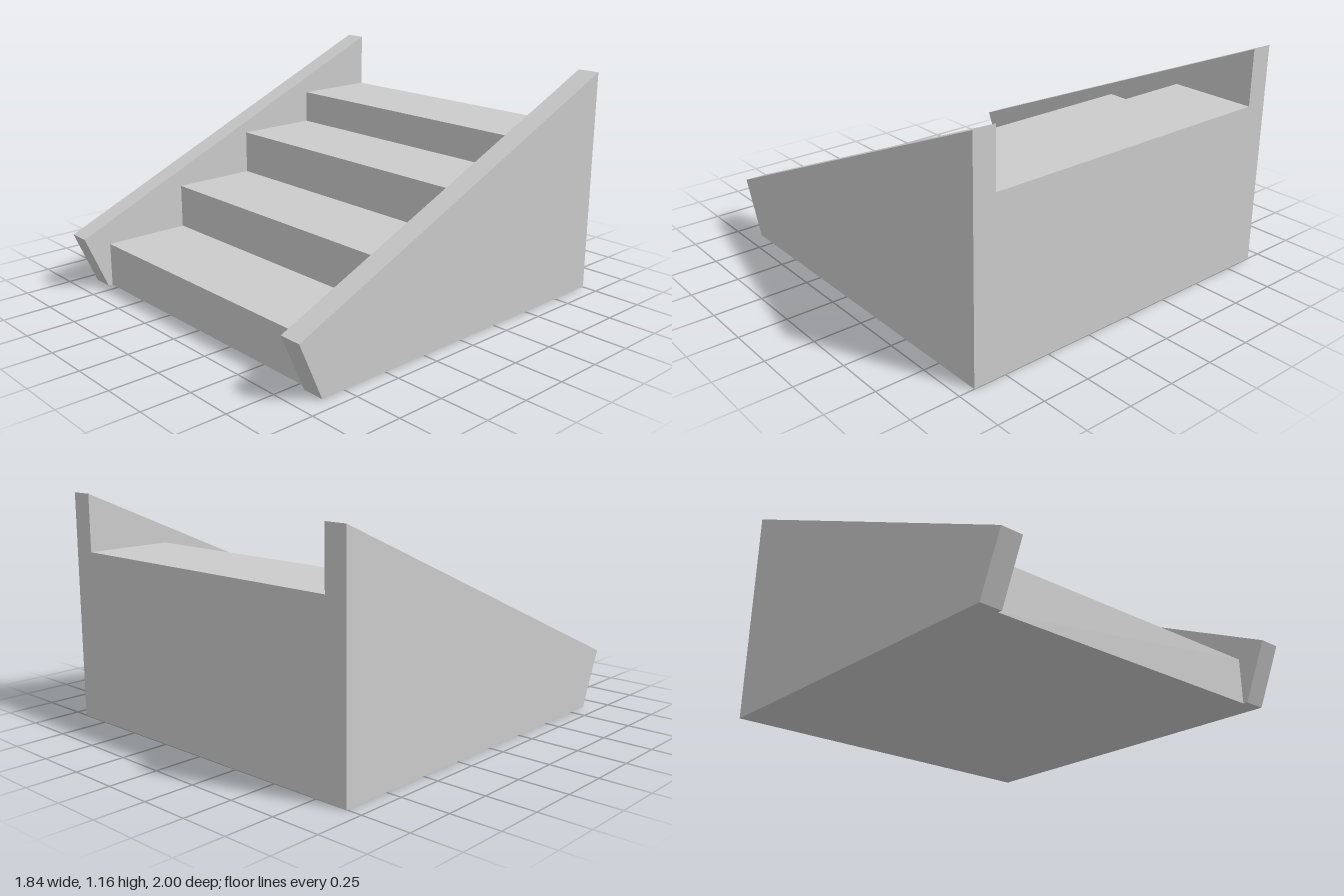
import * as THREE from 'three';

const material = new THREE.MeshStandardMaterial({ color: 0xcccccc, flatShading: true });

// Extrudes a side profile of [z, y] points across x, centred on x = 0.
function profileMesh(name, points, width) {
  const shape = new THREE.Shape(points.map(([z, y]) => new THREE.Vector2(z, y)));
  const geometry = new THREE.ExtrudeGeometry(shape, { depth: width, bevelEnabled: false });
  geometry.translate(0, 0, -width / 2);
  geometry.rotateY(-Math.PI / 2);
  const mesh = new THREE.Mesh(geometry, material);
  mesh.name = name;
  return mesh;
}

export function createModel() {
  const group = new THREE.Group();
  group.name = 'stairs';

  const wallInner = 0.803, wallOuter = 0.92, back = -1;

  // Solid flight of four steps; the top riser is shorter
  const noses = [0.852, 0.387, -0.076, -0.539];
  const heights = [0.232, 0.464, 0.696, 0.872];
  const profile = [[back, 0], [noses[0], 0]];
  noses.forEach((z, i) => profile.push([z, heights[i]], [noses[i + 1] ?? back, heights[i]]));
  group.add(profileMesh('steps', profile, wallInner * 2));

  // Sloping side walls with a raked front end
  const wall = [[back, 0], [0.875, 0], [1, 0.29], [back, 1.163]];
  for (const [name, side] of [['leftWall', 1], ['rightWall', -1]]) {
    const mesh = profileMesh(name, wall, wallOuter - wallInner);
    mesh.position.x = side * (wallInner + wallOuter) / 2;
    group.add(mesh);
  }
  return group;
}
